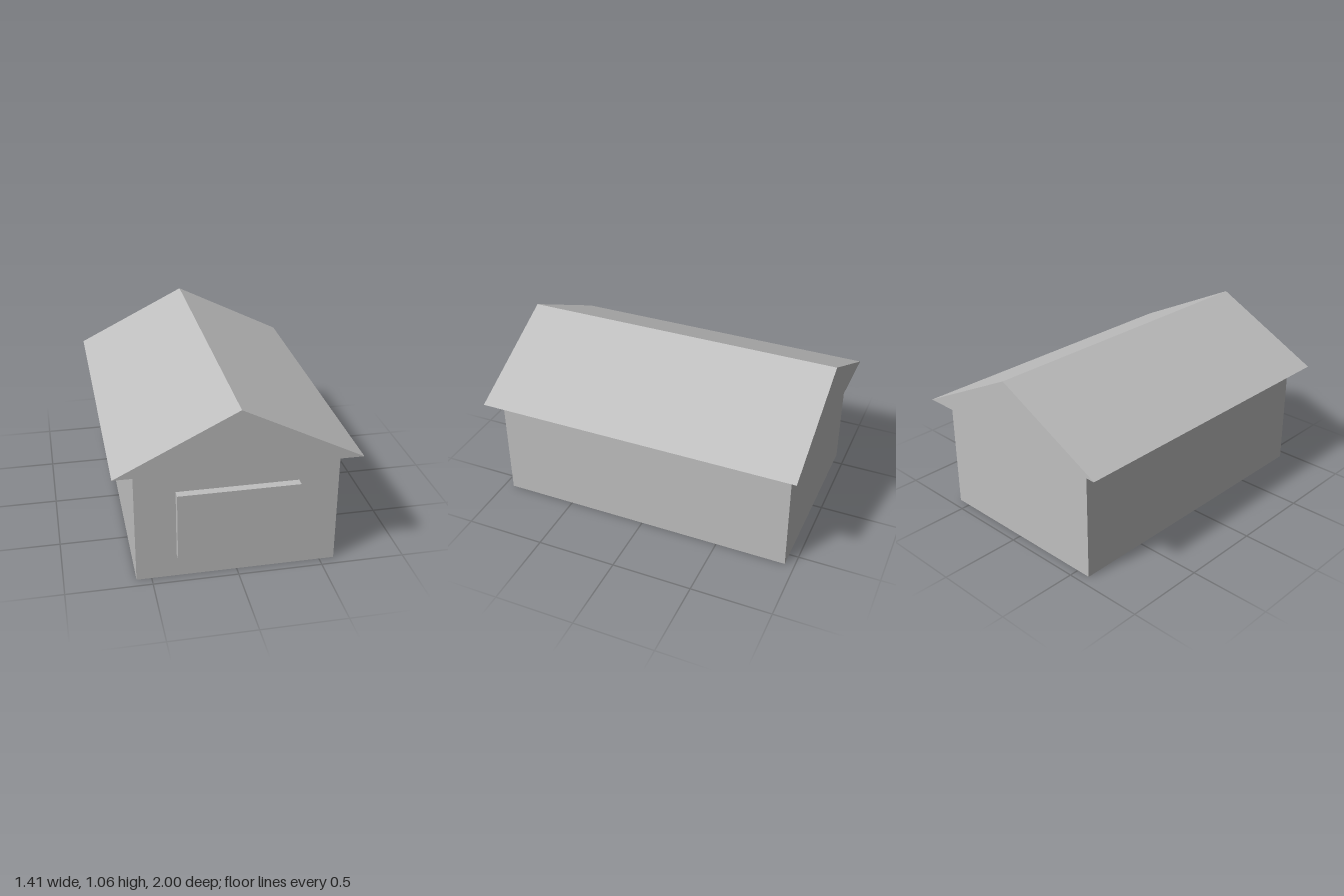
import * as THREE from 'three';

export function createModel() {
  const model = new THREE.Group();
  model.name = 'garage';
  const grey = new THREE.MeshStandardMaterial({ color: 0xbfbfbf });
  grey.name = 'grey';

  const add = (name, geometry, x, y, z) => {
    const mesh = new THREE.Mesh(geometry, grey);
    mesh.name = name;
    mesh.position.set(x, y, z);
    model.add(mesh);
  };

  // Main walls
  const wallHeight = 0.706;
  add('walls', new THREE.BoxGeometry(1.176, wallHeight, 1.882), 0, wallHeight / 2, 0);

  // Gabled roof: a solid triangular prism overhanging the walls
  const gable = new THREE.Shape([
    new THREE.Vector2(-0.706, 0),
    new THREE.Vector2(0.706, 0),
    new THREE.Vector2(0, 0.353),
  ]);
  const roof = new THREE.ExtrudeGeometry(gable, { depth: 2, bevelEnabled: false });
  add('roof', roof, 0, wallHeight, -1);

  // Raised door panel on the front wall
  add('doorPanel', new THREE.BoxGeometry(0.706, 0.412, 0.05), 0, 0.354, 0.966);

  return model;
}
